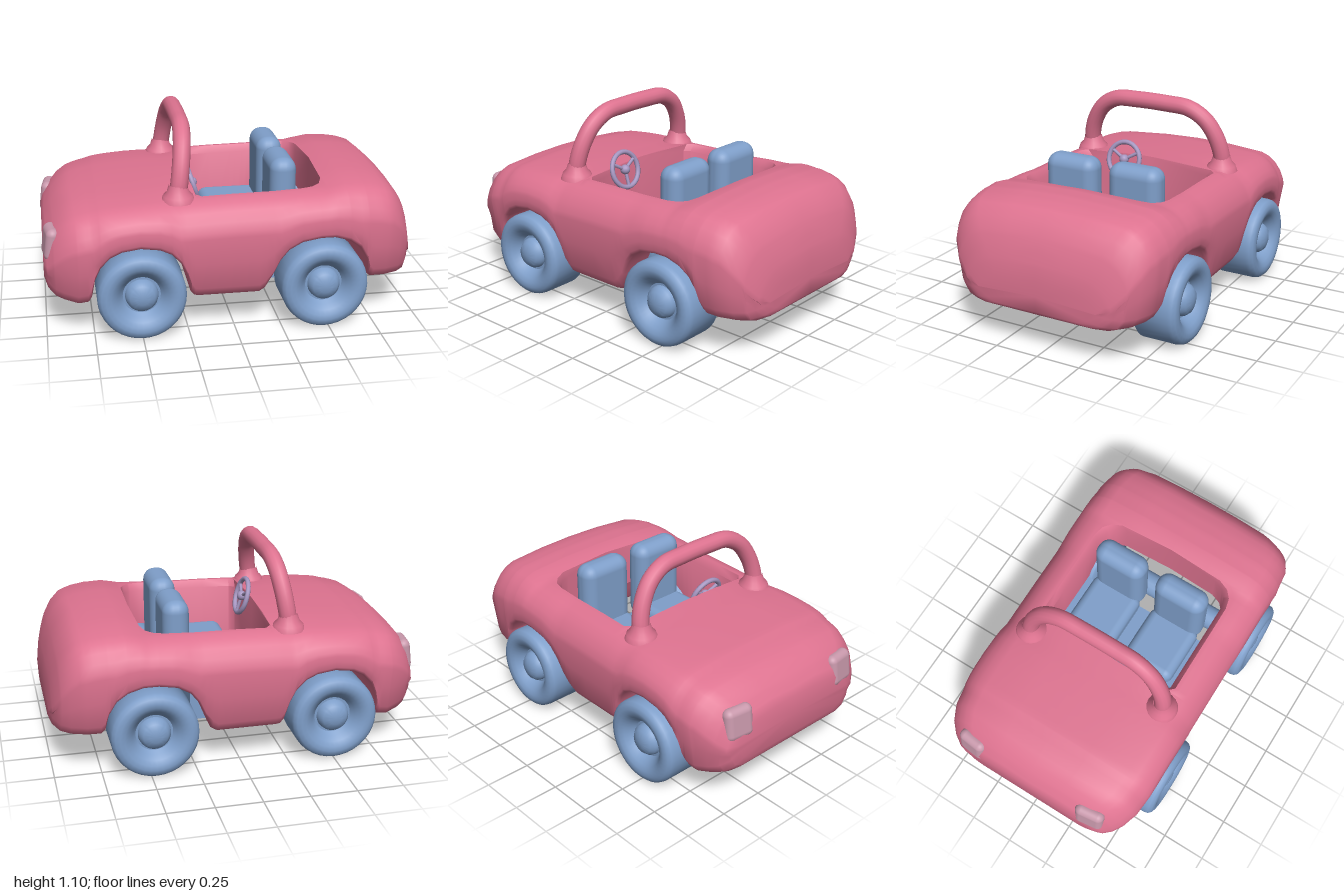
import * as THREE from 'three';
import { toCreasedNormals } from 'three/addons/utils/BufferGeometryUtils.js';
import { RoundedBoxGeometry } from 'three/addons/geometries/RoundedBoxGeometry.js';

const mat = (name, color, side = THREE.FrontSide) => {
  const m = new THREE.MeshStandardMaterial({ color, side });
  m.name = name;
  return m;
};

// Body outlines along x: roof line, underside with wheel arches, half width, half cockpit opening
const TOP = [[-1, 0.5], [-0.985, 0.54], [-0.95, 0.59], [-0.9, 0.64], [-0.85, 0.67], [-0.78, 0.69], [-0.7, 0.706],
  [-0.4, 0.724], [-0.2, 0.735], [0, 0.742], [0.48, 0.748], [0.54, 0.762], [0.6, 0.776], [0.7, 0.776], [0.78, 0.765],
  [0.85, 0.745], [0.9, 0.7], [0.94, 0.64], [0.97, 0.57], [0.99, 0.49], [1, 0.42]];
const BOTTOM = [[-1, 0.27], [-0.98, 0.225], [-0.94, 0.195], [-0.83, 0.17], [-0.775, 0.18], [-0.758, 0.21], [-0.74, 0.33],
  [-0.71, 0.4], [-0.66, 0.455], [-0.6, 0.485], [-0.5, 0.5], [-0.4, 0.485], [-0.34, 0.455], [-0.29, 0.4], [-0.258, 0.33],
  [-0.235, 0.21], [-0.215, 0.182], [-0.19, 0.178], [0.13, 0.178], [0.16, 0.2], [0.2, 0.3], [0.235, 0.38], [0.28, 0.44],
  [0.35, 0.482], [0.45, 0.5], [0.53, 0.5], [0.61, 0.475], [0.67, 0.43], [0.71, 0.36], [0.728, 0.25], [0.75, 0.228],
  [0.95, 0.22], [0.985, 0.23], [1, 0.25]];
const WIDTH = [[-1, 0.42], [-0.985, 0.47], [-0.95, 0.52], [-0.9, 0.56], [-0.82, 0.592], [-0.7, 0.605], [0.7, 0.605],
  [0.82, 0.59], [0.9, 0.555], [0.95, 0.505], [0.985, 0.43], [1, 0.35]];
const OPENING = [[-0.195, 0], [-0.19, 0.37], [-0.16, 0.4], [0.38, 0.4], [0.44, 0.385], [0.48, 0.35], [0.503, 0.29], [0.515, 0]];

function lookup(table, x) {
  if (x <= table[0][0]) return table[0][1];
  for (let i = 1; i < table.length; i++) {
    const [x0, v0] = table[i - 1], [x1, v1] = table[i];
    if (x <= x1) return v0 + (v1 - v0) * (x - x0) / (x1 - x0);
  }
  return table[table.length - 1][1];
}

// One half cross-section, from the inner top edge over the flank to the inner bottom edge
function section(x) {
  const t = lookup(TOP, x), b = lookup(BOTTOM, x), w = lookup(WIDTH, x), zi = lookup(OPENING, x);
  const open = zi > 0.01 ? 1 : 0;
  const drop = Math.min(0.2, 0.6 * (t - b));
  const rb = b < 0.28 ? 0.07 : 0.025;
  const zt = w - 0.15;
  const crown = (z) => t - 0.12 * drop * (z / zt) ** 2;
  const taper = (y) => w - 0.14 * Math.max(0, 0.5 - y);
  const z1 = zi + 0.03 * open, z2 = Math.max(z1 + 0.01, zt);
  const pts = [[zi, crown(zi) - 0.04 * open], [z1, crown(z1)], [(z1 + z2) / 2, crown((z1 + z2) / 2)], [z2, crown(z2)]];
  for (const [dz, dy] of [[0.1, 0.22], [0.06, 0.38], [0.025, 0.62], [0.006, 0.85], [0, 1]])
    pts.push([w - dz, t - dy * drop]);
  const low = Math.min(t - drop, b + rb), mid = (t - drop + low) / 2;
  pts.push([taper(mid), mid], [taper(low), low], [taper(b) - rb * 0.3, b + rb * 0.3], [taper(b) - rb, b], [zi, b]);
  return { x, zi, pts };
}

function bodyGeometry() {
  const xs = [...new Set([TOP, BOTTOM, WIDTH, OPENING].flat().map((p) => p[0]))].sort((a, b) => a - b);
  const rings = xs.map(section);
  const pos = [];
  for (const s of [1, -1]) {
    const tri = (a, b, c) => pos.push(...a, ...(s > 0 ? b : c), ...(s > 0 ? c : b));
    const at = (r, j) => {
      const [z, y] = r.pts[j % r.pts.length];
      return [r.x, y, s * z];
    };
    const n = rings[0].pts.length;
    for (let i = 0; i < rings.length - 1; i++) {
      const p = rings[i], q = rings[i + 1];
      for (let j = 0; j < n; j++) {
        if (j === n - 1 && p.zi === 0 && q.zi === 0) continue;
        tri(at(p, j), at(p, j + 1), at(q, j + 1));
        tri(at(p, j), at(q, j + 1), at(q, j));
      }
    }
    // nose and tail caps
    for (const r of [rings[0], rings[rings.length - 1]]) {
      const c = [r.x, (r.pts[0][1] + r.pts[n - 1][1]) / 2, 0];
      for (let j = 0; j < n - 1; j++) {
        if (r.x < 0) tri(c, at(r, j + 1), at(r, j));
        else tri(c, at(r, j), at(r, j + 1));
      }
    }
  }
  const g = new THREE.BufferGeometry();
  g.setAttribute('position', new THREE.Float32BufferAttribute(pos, 3));
  return toCreasedNormals(g, 0.85);
}

export function createModel() {
  const car = new THREE.Group();
  car.name = 'toyCar';
  const pink = mat('bodyPink', 0xde7390);
  const blue = mat('partsBlue', 0x7f9fca);
  const lamp = mat('lampMauve', 0xc898ab);
  const lilac = mat('steeringLilac', 0xa596c0);
  const add = (name, geo, material, x = 0, y = 0, z = 0, parent = car) => {
    const m = new THREE.Mesh(geo, material);
    m.name = name;
    m.position.set(x, y, z);
    parent.add(m);
    return m;
  };

  // Body shell and cockpit floor
  add('body', bodyGeometry(), pink);
  add('floor', new THREE.BoxGeometry(0.35, 0.06, 0.84), pink, -0.03, 0.21, 0);

  // Windscreen hoop with flared feet
  const half = [[0.425, 0.68], [0.418, 0.8], [0.385, 0.9], [0.325, 0.985], [0.23, 1.04], [0.1, 1.05]];
  const hoopX = (y) => -0.29 + (y - 0.7) * 0.14;
  const path = [...half, ...half.map(([z, y]) => [-z, y]).reverse()].map(([z, y]) => new THREE.Vector3(hoopX(y), y, z));
  add('windscreenHoop', new THREE.TubeGeometry(new THREE.CatmullRomCurve3(path), 56, 0.047, 14), pink);
  const flare = [[0.09, -0.03], [0.08, 0], [0.06, 0.02], [0.047, 0.06]].map((p) => new THREE.Vector2(...p));
  for (const s of [1, -1]) add('hoopFoot', new THREE.LatheGeometry(flare, 18), pink, -0.285, 0.725, s * 0.42);

  // Wheels and axles
  const profile = [[0, 0], [0.228, 0], [0.235, 0.008], [0.235, 0.2], [0.23, 0.222], [0.215, 0.238], [0.19, 0.245],
    [0.165, 0.241], [0.14, 0.226], [0.118, 0.2], [0.1, 0.175], [0.088, 0.175], [0.083, 0.2], [0.065, 0.222],
    [0.035, 0.234], [0, 0.238]].map((p) => new THREE.Vector2(...p));
  const wheelGeo = toCreasedNormals(new THREE.LatheGeometry(profile, 36).rotateX(Math.PI / 2), 0.9);
  for (const [x, end] of [[-0.5, 'front'], [0.475, 'rear']]) {
    for (const s of [1, -1]) {
      const w = add(end + 'Wheel', wheelGeo, blue, x, 0.236, s * 0.39);
      if (s < 0) w.rotation.y = Math.PI;
    }
    add(end + 'Axle', new THREE.CylinderGeometry(0.068, 0.068, 0.8, 20).rotateX(Math.PI / 2), blue, x, 0.225, 0);
  }

  // Seats on a shared base
  add('seatBase', new THREE.BoxGeometry(0.33, 0.2, 0.8), blue, 0.085, 0.31, 0);
  for (const z of [0.19, -0.198]) {
    const seat = new THREE.Group();
    seat.name = 'seat';
    car.add(seat);
    add('cushion', new RoundedBoxGeometry(0.36, 0.13, 0.31, 4, 0.05), blue, 0.1, 0.435, z, seat);
    add('backrest', new RoundedBoxGeometry(0.145, 0.46, 0.31, 4, 0.065), blue, 0.302, 0.63, z, seat);
  }

  // Headlights
  for (const s of [1, -1]) {
    const h = add('headlight', new RoundedBoxGeometry(0.075, 0.18, 0.17, 5, 0.037), lamp, -0.956, 0.49, s * 0.38);
    h.rotation.set(0, s * 0.12, -0.12);
  }

  // Steering wheel, built in its own plane and tilted forward
  const wheel = new THREE.Group();
  wheel.name = 'steeringWheel';
  add('rim', new THREE.TorusGeometry(0.1, 0.014, 10, 28).rotateY(Math.PI / 2), lilac, 0, 0, 0, wheel);
  add('hub', new THREE.SphereGeometry(0.028, 14, 10), lilac, 0, 0, 0, wheel);
  for (let i = 0; i < 3; i++) {
    const a = Math.PI / 2 + i * Math.PI * 2 / 3 + Math.PI;
    const spoke = add('spoke', new THREE.CylinderGeometry(0.01, 0.01, 0.1, 8), lilac, 0, Math.sin(a) * 0.05, Math.cos(a) * 0.05, wheel);
    spoke.rotation.x = Math.PI / 2 - a;
  }
  add('column', new THREE.CylinderGeometry(0.014, 0.014, 0.08, 10).rotateZ(Math.PI / 2), lilac, -0.04, 0, 0, wheel);
  wheel.position.set(-0.175, 0.7, 0.15);
  wheel.rotation.z = 0.3;
  car.add(wheel);
  return car;
}
